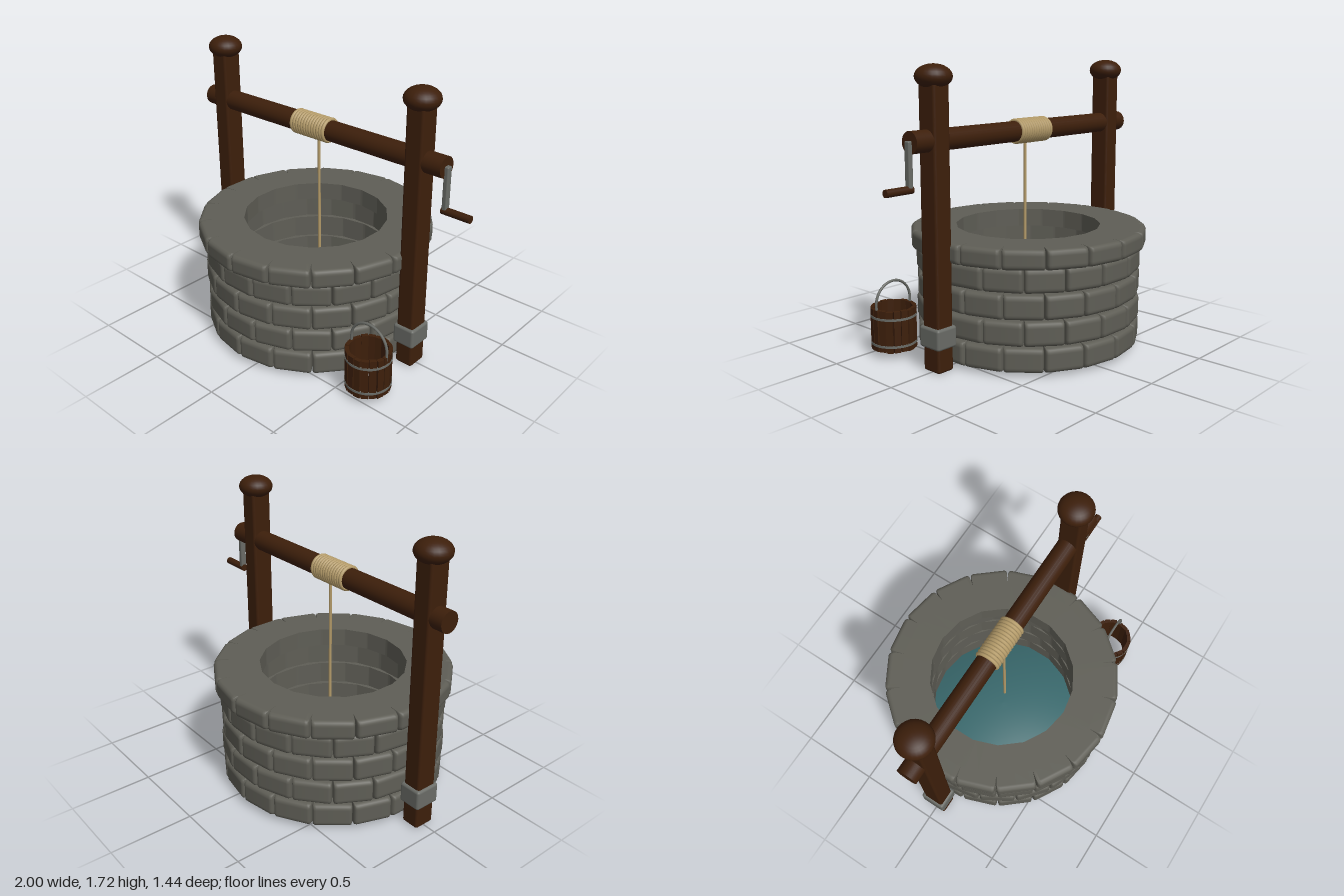
import * as THREE from 'three';
import { toCreasedNormals } from 'three/addons/utils/BufferGeometryUtils.js';
import { RoundedBoxGeometry } from 'three/addons/geometries/RoundedBoxGeometry.js';

const material = (name, color) => {
  const m = new THREE.MeshStandardMaterial({ color });
  m.name = name;
  return m;
};

const points = (list) => list.map(([x, y]) => new THREE.Vector2(x, y));

// Columns across one block: fraction of its width, and how far the outer face is rounded back
const COLUMNS = [
  [0, 0.1], [0.015, 0.025], [0.035, 0.009], [0.075, 0.001], [0.12, 0], [0.5, 0],
  [0.88, 0], [0.925, 0.001], [0.965, 0.009], [0.985, 0.025],
];

// One course of stones: a lathed ring whose outer edge is notched at every joint
function stoneCourse(inner, outer, y0, y1, blocks = 18) {
  const b = 0.02, s = 0.007, e = 0.011, notch = outer - 0.1;
  const profile = points([
    [inner, y0], [notch, y0], [outer - b - e, y0], [outer - b, y0], [outer - s, y0 + s],
    [outer, y0 + b], [outer, y0 + b + e], [outer, y1 - b - e], [outer, y1 - b],
    [outer - s, y1 - s], [outer - b, y1], [outer - b - e, y1], [notch, y1],
    [inner, y1], [inner, y0],
  ]);
  const arc = (Math.PI * 2) / blocks;
  const geo = new THREE.LatheGeometry(profile, blocks * COLUMNS.length);
  const pos = geo.attributes.position;
  for (let i = 0; i < pos.count; i++) {
    const column = Math.floor(i / profile.length);
    const [f, drop] = COLUMNS[column % COLUMNS.length];
    let r = profile[i % profile.length].x;
    if (r > notch) r = Math.max(notch, r - drop);
    // Straight faces between the joints
    r *= Math.cos(arc / 2) / Math.cos((f - 0.5) * arc);
    const a = (Math.floor(column / COLUMNS.length) + f) * arc;
    pos.setXYZ(i, Math.sin(a) * r, pos.getY(i), Math.cos(a) * r);
  }
  return toCreasedNormals(geo, 0.8);
}

export function createModel() {
  const model = new THREE.Group();
  model.name = 'well';

  const wood = material('dark wood', 0x3d1f0b);
  const stone = material('stone', 0x5f5e56);
  const metal = material('iron', 0x696b66);
  const ropeMat = material('rope', 0xb59c6a);
  const waterMat = material('water', 0x3a6a6e);
  waterMat.side = THREE.DoubleSide;

  const add = (name, geo, mat, x, y, z, parent = model) => {
    const mesh = new THREE.Mesh(geo, mat);
    mesh.name = name;
    mesh.position.set(x, y, z);
    parent.add(mesh);
    return mesh;
  };

  // Stone wall: five courses, joints staggered, wider rim on top
  const wall = new THREE.Group();
  wall.name = 'stoneWall';
  wall.position.x = -0.1;
  model.add(wall);
  const courses = [
    [0.48, 0.692, 0.025, 0.165],
    [0.48, 0.692, 0.178, 0.317],
    [0.48, 0.692, 0.33, 0.47],
    [0.48, 0.692, 0.483, 0.621],
    [0.445, 0.726, 0.622, 0.735],
  ];
  courses.forEach((c, i) => {
    const ring = add(i === 4 ? 'rim' : 'course', stoneCourse(...c), stone, 0, 0, 0, wall);
    ring.rotation.y = i % 2 ? Math.PI / 18 : 0;
  });

  // Water: a single, gently domed sheet low in the shaft
  const waterProfile = points(Array.from({ length: 9 }, (_, i) => {
    const t = 1 - i / 8;
    return [0.49 * t, 0.04 + 0.1 * (1 - t * t)];
  }));
  add('water', new THREE.LatheGeometry(waterProfile, 36), waterMat, -0.1, 0, 0);

  // Posts with knobs and iron brackets
  for (const x of [-0.8625, 0.655]) {
    add('post', new RoundedBoxGeometry(0.115, 1.63, 0.13, 3, 0.016), wood, x, 0.815, 0);
    add('knob', new THREE.SphereGeometry(0.104, 24, 16), wood, x, 1.651, 0).scale.y = 0.65;
    add('bracket', new RoundedBoxGeometry(0.144, 0.125, 0.16, 3, 0.016), metal, x, 0.203, 0);
  }

  // Windlass beam and crank
  const rod = (name, r, x0, x1, y, mat) => {
    const geo = new THREE.CylinderGeometry(r, r, x1 - x0, 24);
    add(name, geo, mat, (x0 + x1) / 2, y, 0).rotation.z = Math.PI / 2;
  };
  rod('beam', 0.062, -1, 0.83, 1.31, wood);
  rod('crankHandle', 0.022, 0.82, 1, 1.06, wood);
  add('crankArm', new RoundedBoxGeometry(0.03, 0.26, 0.038, 2, 0.008), metal, 0.838, 1.19, 0);

  // Rope wound on the beam and hanging into the well
  const turns = 13;
  for (let i = 0; i < turns; i++) {
    const x = -0.233 + (i * 0.246) / (turns - 1);
    add('ropeTurn', new THREE.TorusGeometry(0.065, 0.0115, 8, 28), ropeMat, x, 1.31, 0)
      .rotation.y = Math.PI / 2;
  }
  add('hangingRope', new THREE.CylinderGeometry(0.009, 0.009, 0.95, 10), ropeMat, -0.072, 0.78, 0);

  // Bucket: staves, two hoops and a wire handle
  const bucket = new THREE.Group();
  bucket.name = 'bucket';
  bucket.position.set(0.655, 0, 0.395);
  model.add(bucket);
  const staves = 18;
  for (let i = 0; i < staves; i++) {
    const a = ((i + 0.5) / staves) * Math.PI * 2;
    const stave = add('stave', new THREE.BoxGeometry(0.04, 0.25, 0.023), wood,
      Math.sin(a) * 0.122, 0.167 + (i % 3) * 0.002, Math.cos(a) * 0.122, bucket);
    stave.rotation.y = a + (i % 2 ? 0.08 : -0.08);
  }
  const hoopProfile = points([[0.126, -0.007], [0.137, -0.007], [0.137, 0.007], [0.126, 0.007], [0.126, -0.007]]);
  const hoopGeo = toCreasedNormals(new THREE.LatheGeometry(hoopProfile, 36), 0.5);
  for (const y of [0.08, 0.245]) add('hoop', hoopGeo, metal, 0, y, 0, bucket);
  add('bucketHandle', new THREE.TorusGeometry(0.126, 0.008, 8, 28, Math.PI), metal, 0, 0.322, 0, bucket);
  for (const s of [-1, 1]) {
    add('handleEnd', new THREE.CylinderGeometry(0.008, 0.008, 0.08, 8), metal, s * 0.126, 0.284, 0, bucket);
  }

  return model;
}
